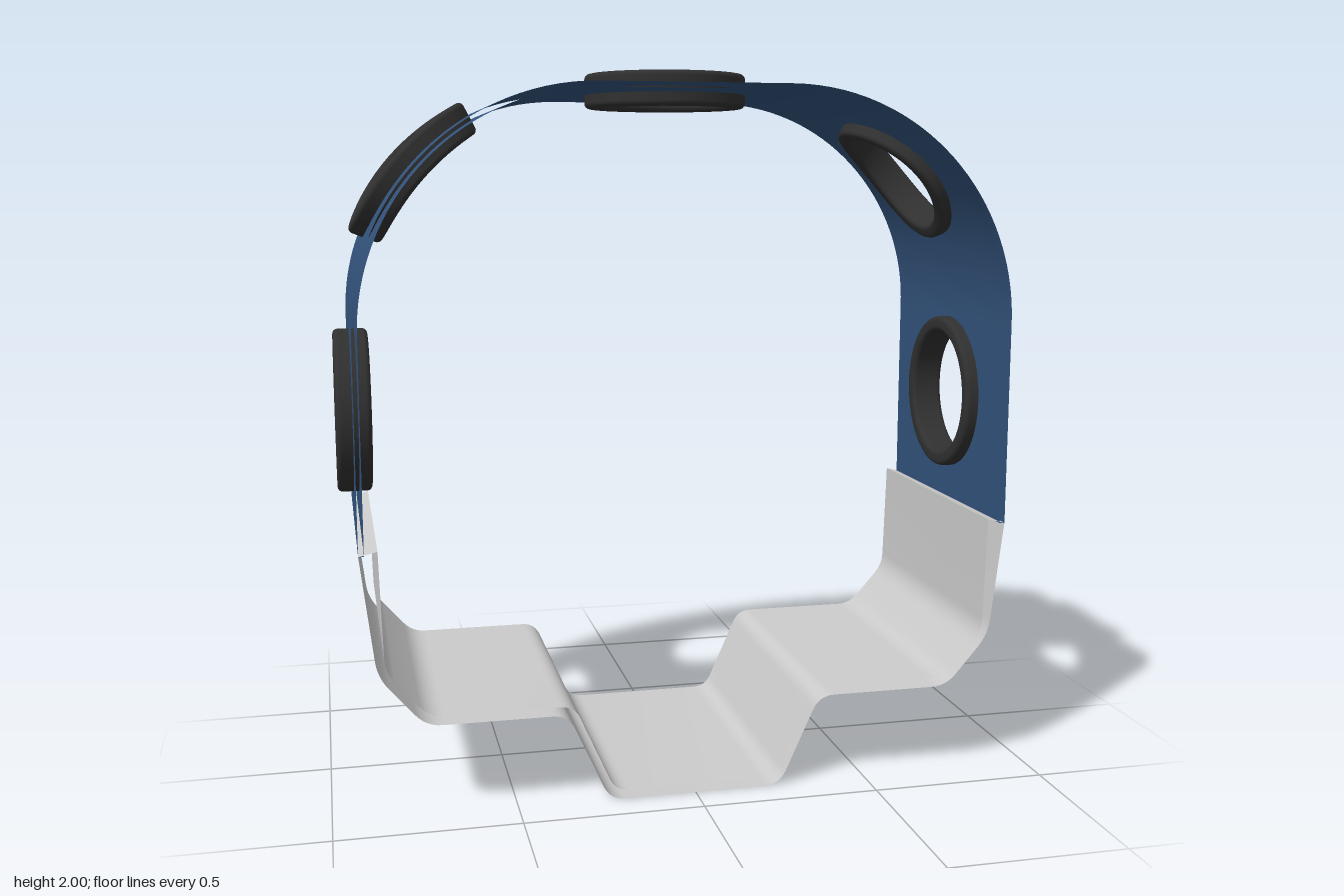
import * as THREE from 'three';
import { mergeGeometries, mergeVertices, toCreasedNormals } from 'three/addons/utils/BufferGeometryUtils.js';

const DEPTH = 0.4;          // half width of the band along z
const FLAT = 0.26;          // half length of the flat top
const R = 0.65;             // shoulder radius
const TOP = 1.955;
const ARC = R * Math.PI / 2;
const END = FLAT + ARC + (TOP - R - 0.73);   // half length of the strap
const HOLES = [-1.526, -0.805, 0, 0.805, 1.526];  // positions along the strap
const HALF = 0.26;          // half length of the patch round each hole
const NZ = 16;

// Indexed surface from a function of u, v in 0..1
function grid(nu, nv, f) {
  const pos = [], idx = [];
  for (let i = 0; i <= nu; i++)
    for (let j = 0; j <= nv; j++) pos.push(...f(i / nu, j / nv));
  for (let i = 0; i < nu; i++)
    for (let j = 0; j < nv; j++) {
      const a = i * (nv + 1) + j, b = a + nv + 1;
      idx.push(a, b, b + 1, a, b + 1, a + 1);
    }
  const g = new THREE.BufferGeometry();
  g.setAttribute('position', new THREE.Float32BufferAttribute(pos, 3));
  g.setIndex(idx);
  return g;
}

// Wrap flat geometry (x along the strap, y outward) round the arch
function bend(g) {
  const p = g.attributes.position;
  for (let i = 0; i < p.count; i++) {
    const s = p.getX(i), h = p.getY(i), side = Math.sign(s), d = Math.abs(s);
    let x = d, y = TOP + h;
    if (d > FLAT + ARC) {
      x = FLAT + R + h;
      y = TOP - R - (d - FLAT - ARC);
    } else if (d > FLAT) {
      const a = (d - FLAT) / R;
      x = FLAT + (R + h) * Math.sin(a);
      y = TOP - R + (R + h) * Math.cos(a);
    }
    p.setXY(i, side * x, y);
  }
  return g;
}

// Rectangle of strap with a round hole; flip = 1 or -1 picks the facing
function holePatch(s, h, flip) {
  return grid(4 * NZ, 5, (u, v) => {
    const t = u * 4, side = Math.floor(t) % 4, k = (t % 1) * 2 - 1;
    const [x, z] = [[1, k], [-k, 1], [-1, -k], [k, -1]][side];
    const rx = x * HALF, rz = z * DEPTH, a = Math.atan2(rz, rx);
    return [
      s + THREE.MathUtils.lerp(0.205 * Math.cos(a), rx, v), h,
      flip * THREE.MathUtils.lerp(0.205 * Math.sin(a), rz, v)];
  });
}

function strapSkin(h, flip) {
  const parts = HOLES.map(s => holePatch(s, h, flip));
  const cuts = [-END, ...HOLES.flatMap(s => [s - HALF, s + HALF]), END];
  for (let i = 0; i < cuts.length; i += 2)
    parts.push(grid(8, NZ, (u, v) =>
      [THREE.MathUtils.lerp(cuts[i], cuts[i + 1], u), h, flip * DEPTH * (1 - 2 * v)]));
  return parts;
}

function strapGeometry() {
  const t = -0.015;
  const ends = [-1, 1].map(e => grid(1, NZ, (u, v) => [e * END, u * t, e * DEPTH * (1 - 2 * v)]));
  const g = mergeGeometries([...strapSkin(0, 1), ...strapSkin(t, -1), ...ends]);
  return toCreasedNormals(mergeVertices(bend(g), 1e-4), 0.7);
}

// Rounded ring that follows the strap
function rimGeometry(s) {
  const [r0, r1, h0, h1, c] = [0.185, 0.23, -0.052, 0.044, 0.014];
  const pts = [];
  const corners = [[r1 - c, h0 + c, -90], [r1 - c, h1 - c, 0], [r0 + c, h1 - c, 90], [r0 + c, h0 + c, 180]];
  for (const [x, y, start] of corners)
    for (let k = 0; k <= 4; k++) {
      const a = THREE.MathUtils.degToRad(start + k * 22.5);
      pts.push(new THREE.Vector2(x + c * Math.cos(a), y + c * Math.sin(a)));
    }
  pts.push(pts[0].clone());
  const g = new THREE.LatheGeometry(pts, 64);
  g.deleteAttribute('normal');
  g.deleteAttribute('uv');
  g.translate(s, 0, 0);
  const m = mergeVertices(bend(g), 1e-4);
  m.computeVertexNormals();
  return m;
}

// Mirror half a profile and round its inner corners
function profile(half, r) {
  const all = [...half, ...half.slice().reverse().map(([x, y]) => [-x, y])]
    .map(([x, y]) => new THREE.Vector2(x, y));
  const out = [all[0]];
  for (let i = 1; i < all.length - 1; i++) {
    const p = all[i];
    const toward = q => p.clone().add(q.clone().sub(p).setLength(r));
    out.push(...new THREE.QuadraticBezierCurve(toward(all[i - 1]), p, toward(all[i + 1])).getPoints(6));
  }
  out.push(all[all.length - 1]);
  return out;
}

// Folded lower bracket, open along its front and back edges
function bracketGeometry() {
  const outer = profile([[0.91, 0.73], [0.87, 0.40], [0.745, 0.255], [0.36, 0.255], [0.245, 0]], 0.045);
  const inner = profile([[0.86, 0.742], [0.85, 0.41], [0.735, 0.28], [0.343, 0.28], [0.23, 0.025]], 0.04);
  const loop = [...outer, ...inner.reverse(), outer[0]];
  const n = loop.length - 1;
  const g = grid(n, 1, (u, v) => {
    const p = loop[Math.round(u * n)];
    return [p.x, p.y, DEPTH * (1 - 2 * v)];
  });
  return toCreasedNormals(g, 0.7);
}

export function createModel() {
  const model = new THREE.Group();
  const add = (name, geometry, color) => {
    const mesh = new THREE.Mesh(geometry,
      new THREE.MeshStandardMaterial({ color, side: THREE.DoubleSide }));
    mesh.name = name;
    model.add(mesh);
  };
  add('strap', strapGeometry(), 0x33537c);
  add('lowerBracket', bracketGeometry(), 0xcccccc);
  const names = ['rightSideRim', 'rightShoulderRim', 'topRim', 'leftShoulderRim', 'leftSideRim'];
  HOLES.forEach((s, i) => add(names[i], rimGeometry(s), 0x303030));
  return model;
}
